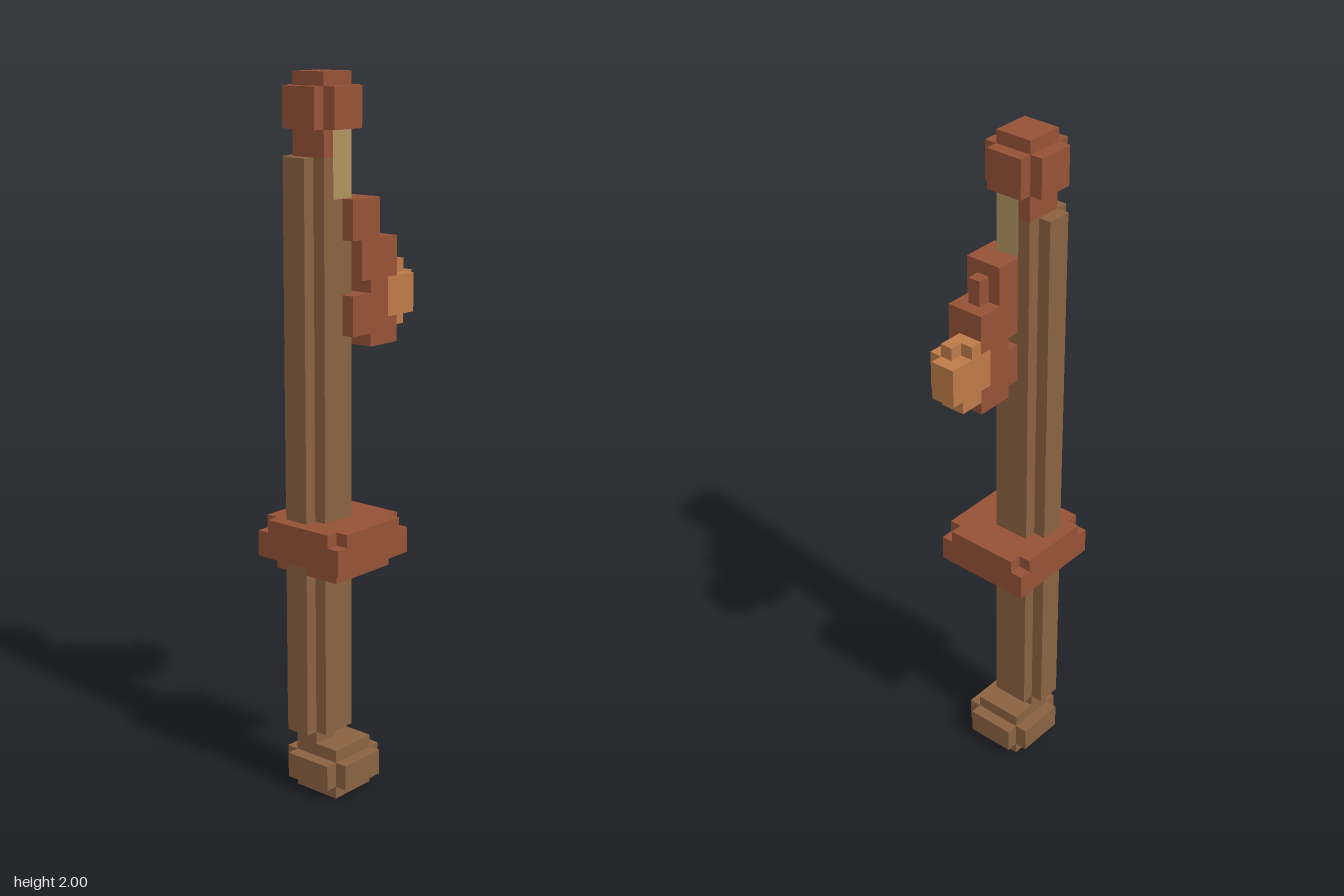
import * as THREE from 'three';

const U = 2 / 55; // one block

const mat = (name, color) => {
  const m = new THREE.MeshStandardMaterial({ color });
  m.name = name;
  return m;
};

export function createModel() {
  const root = new THREE.Group();
  root.name = 'blockStaff';
  const red = mat('reddish wood', 0x965236);
  const brown = mat('brown wood', 0x8b6242);
  const orange = mat('orange wood', 0xbe7b49);
  const tan = mat('tan wood', 0xb0945f);

  // A named part made of boxes, each [x0, x1, y0, y1, z0, z1] in blocks
  const part = (name, material, boxes) => {
    const g = new THREE.Group();
    g.name = name;
    boxes.forEach(([x0, x1, y0, y1, z0, z1], i) => {
      const geo = new THREE.BoxGeometry((x1 - x0) * U, (y1 - y0) * U, (z1 - z0) * U);
      const m = new THREE.Mesh(geo, material);
      m.name = `${name}Block${i + 1}`;
      m.position.set((x0 + x1) / 2 * U, (y0 + y1) / 2 * U, (z0 + z1) / 2 * U);
      g.add(m);
    });
    root.add(g);
  };

  // Slab with its four corner blocks missing
  const plus = (x0, x1, y0, y1, z0, z1) => [
    [x0, x1, y0, y1, z0 + 1, z1 - 1],
    [x0 + 1, x1 - 1, y0, y1, z0, z1],
  ];

  // Foot knob
  part('pommel', brown, [
    [-4, 0, 0, 1, -2, 2],
    ...plus(-5, 1, 1, 3, -3, 3),
    [-4, 0, 3, 4, -2, 2],
    [-4, -2, 4, 5, -2, 0],
  ]);

  // Shaft with ridges along the back and right side
  part('shaft', brown, [
    [-4, -1, 5, 46, -2, 1],
    [-4, -3, 46, 49, -2, 1],
    [-3, -1, 46, 49, -2, -1],
    [-4, -2, 5, 49, -3, -2],
    [-5, -4, 5, 49, -2, 0],
  ]);

  // Square collar
  part('collar', red, [
    [-5, 1, 18, 19, -3, 3],
    [-6, 2, 19, 21, -4, 4],
    ...plus(-6, 2, 21, 22, -4, 4),
  ]);

  // Pale inset and the neck around it
  part('inset', tan, [[-3, -1, 46, 51, -1, 1]]);
  part('neck', red, [
    [-4, -3, 49, 51, -2, 1],
    [-3, -1, 49, 51, -2, -1],
  ]);

  // Top cap
  part('cap', red, [
    ...plus(-5, 0, 51, 54, -3, 2),
    [-4, -1, 54, 55, -2, 1],
  ]);

  // Bracket holding the knob
  part('bracket', red, [
    [-2, 1, 43, 46, -1, 2],
    [1, 2, 43, 45, 0, 1],
    [-1, 3, 42, 43, -1, 2],
    [-1, 2, 40, 42, -1, 2],
    [2, 3, 40, 42, -1, 2],
    [0, 2, 39, 40, -1, 2],
    [-2, 2, 36, 39, -1, 2],
    [2, 3, 36, 37, -1, 2],
    [0, 3, 35, 36, -1, 2],
  ]);

  // Stepped side knob
  part('knob', orange, [
    [2, 3, 37, 40, -1, 2],
    [3, 5, 37, 40, -1, 2],
    [5, 6, 37, 40, -1, 1],
    [3, 4, 40, 41, -1, 1],
    [4, 5, 40, 41, 0, 1],
    [3, 5, 36, 37, -1, 1],
  ]);

  return root;
}
